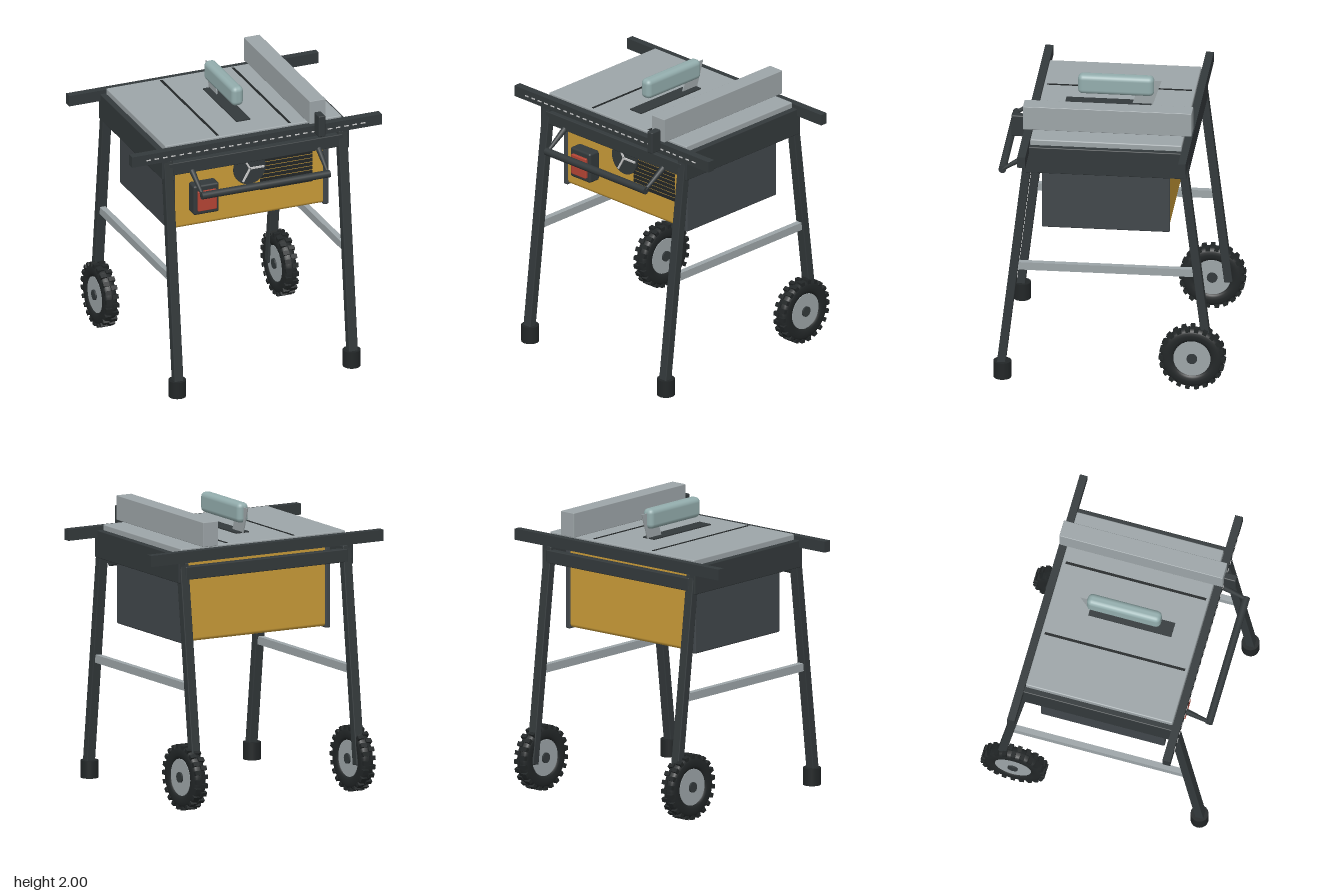
import * as THREE from 'three';
import { RoundedBoxGeometry } from 'three/addons/geometries/RoundedBoxGeometry.js';

const mat = (color) => new THREE.MeshStandardMaterial({ color });
const dark = mat(0x33393b), black = mat(0x222627), steel = mat(0x9da5a8), yellow = mat(0xc99b38);
const panel = mat(0x41474b), red = mat(0xb54434), teal = mat(0x93adad), light = mat(0xcccccc);

export function createModel() {
  const model = new THREE.Group();
  model.name = 'tableSaw';

  const add = (name, geometry, material, x = 0, y = 0, z = 0, parent = model) => {
    const mesh = new THREE.Mesh(geometry, material);
    mesh.name = name;
    mesh.position.set(x, y, z);
    parent.add(mesh);
    return mesh;
  };
  // Box given by its limits on each axis, optionally with rounded edges
  const box = (name, material, [x0, x1], [y0, y1], [z0, z1], r = 0, parent = model) => {
    const s = [x1 - x0, y1 - y0, z1 - z0];
    const g = r ? new RoundedBoxGeometry(...s, 3, r) : new THREE.BoxGeometry(...s);
    return add(name, g, material, (x0 + x1) / 2, (y0 + y1) / 2, (z0 + z1) / 2, parent);
  };
  // Turns a mesh built along y so that it runs from a to b
  const aim = (mesh, a, b) => {
    mesh.position.copy(a).add(b).multiplyScalar(0.5);
    mesh.quaternion.setFromUnitVectors(new THREE.Vector3(0, 1, 0), b.clone().sub(a).normalize());
  };

  // Table top with mitre slots and throat plate
  box('tableTop', steel, [-0.65, 0.65], [1.7, 1.79], [-0.505, 0.53], 0.008);
  for (const x of [-0.255, 0.275]) box('mitreSlot', black, [x - 0.009, x + 0.009], [1.78, 1.792], [-0.48, 0.51]);
  box('throatPlate', dark, [-0.052, 0.052], [1.78, 1.798], [-0.23, 0.355]);

  // Frame under the table
  for (const s of [-1, 1]) {
    box('sideApron', dark, [s * 0.665 - 0.025, s * 0.665 + 0.025], [1.56, 1.75], [-0.54, 0.57], 0.006);
  }
  box('frontApron', dark, [-0.64, 0.64], [1.58, 1.67], [0.52, 0.575], 0.006);
  box('backApron', dark, [-0.64, 0.64], [1.58, 1.67], [-0.552, -0.5], 0.006);

  // Fence rails, with a dashed scale on the front one
  box('frontRail', dark, [-0.92, 0.92], [1.7, 1.777], [0.535, 0.59]);
  box('backRail', dark, [-0.92, 0.92], [1.7, 1.777], [-0.56, -0.508]);
  for (let i = 0; i < 27; i++) {
    const x = -0.8 + i * 0.0608;
    box('scaleMark', light, [x - 0.016, x + 0.016], [1.731, 1.739], [0.588, 0.594]);
  }

  // Rip fence and its clamp
  box('ripFence', steel, [0.387, 0.505], [1.795, 1.965], [-0.557, 0.595], 0.004);
  box('fenceClamp', dark, [0.42, 0.47], [1.725, 1.88], [0.59, 0.677], 0.008);

  // Blade guard on a riving knife, with the blade below it
  box('bladeGuard', teal, [-0.043, 0.043], [1.86, 2], [-0.25, 0.27], 0.034);
  const knife = new THREE.Shape();
  [[-0.1, 1.79], [-0.24, 1.79], [-0.3, 1.97], [-0.16, 1.97]].forEach(([z, y], i) => (i ? knife.lineTo(-z, y) : knife.moveTo(-z, y)));
  const knifeGeo = new THREE.ExtrudeGeometry(knife, { depth: 0.008, bevelEnabled: false });
  knifeGeo.translate(0, 0, -0.004).rotateY(Math.PI / 2);
  add('rivingKnife', knifeGeo, steel);

  // Motor cabinet with dark side panels
  box('cabinet', yellow, [-0.565, 0.565], [1.12, 1.695], [-0.41, 0.45], 0.025);
  for (const s of [-1, 1]) {
    box('cabinetSidePanel', panel, [s * 0.566 - 0.02, s * 0.566 + 0.02], [1.11, 1.695], [-0.417, 0.457], 0.01);
  }

  // Power switch
  box('switchHousing', dark, [-0.443, -0.255], [1.235, 1.452], [0.44, 0.537], 0.015);
  box('switchButton', red, [-0.417, -0.28], [1.268, 1.413], [0.53, 0.556], 0.006);

  // Height adjustment wheel with three spokes
  const dial = new THREE.Group();
  dial.name = 'heightWheel';
  dial.position.set(0, 1.483, 0.45);
  model.add(dial);
  add('dialDisc', new THREE.CylinderGeometry(0.117, 0.117, 0.03, 40).rotateX(Math.PI / 2), dark, 0, 0, 0, dial);
  for (let i = 0; i < 3; i++) {
    const g = new THREE.BoxGeometry(0.1, 0.013, 0.012).translate(0.055, 0, 0).rotateZ(i * Math.PI * 2 / 3);
    add('dialSpoke', g, light, 0, 0, 0.018, dial);
  }

  // Ventilation slats
  for (let i = 0; i < 8; i++) {
    const y = 1.302 + i * 0.0295;
    box('ventSlat', black, [0.08, 0.465], [y, y + 0.022], [0.44, 0.457]);
  }

  // Front carrying handle
  add('handleBar', new THREE.CylinderGeometry(0.026, 0.026, 0.945, 20).rotateZ(Math.PI / 2), dark, 0, 1.474, 0.738);
  for (const s of [-1, 1]) {
    const arm = add('handleArm', new THREE.CylinderGeometry(0.022, 0.012, 0.22, 14), dark);
    aim(arm, new THREE.Vector3(s * 0.462, 1.474, 0.738), new THREE.Vector3(s * 0.467, 1.592, 0.555));
  }

  // Tyre profile and tread, spinning about x
  const ring = [];
  for (let i = 0; i <= 20; i++) {
    const a = (i / 20) * Math.PI * 2;
    const soft = (v) => Math.sign(v) * Math.pow(Math.abs(v), 0.75);
    ring.push(new THREE.Vector2(0.168 + 0.049 * soft(Math.cos(a)), 0.048 * soft(Math.sin(a))));
  }
  const tyreGeo = new THREE.LatheGeometry(ring, 48).rotateZ(Math.PI / 2);
  const disc = (r, w) => new THREE.CylinderGeometry(r, r, w, 36).rotateZ(Math.PI / 2);

  for (const s of [-1, 1]) {
    // Splayed legs, feet and side stretchers
    const leg = (name, y0, z0, y1, z1) => {
      const a = new THREE.Vector3(s * 0.643, y0, z0), b = new THREE.Vector3(s * 0.643, y1, z1);
      aim(add(name, new RoundedBoxGeometry(0.066, a.distanceTo(b), 0.058, 2, 0.006), dark), a, b);
    };
    leg('frontLeg', 0.08, 0.731, 1.69, 0.54);
    leg('backLeg', 0.2, -0.692, 1.69, -0.509);
    add('foot', new THREE.CylinderGeometry(0.061, 0.061, 0.12, 28), black, s * 0.643, 0.068, 0.72);
    box('stretcher', steel, [s * 0.643 - 0.02, s * 0.643 + 0.02], [0.82, 0.875], [-0.595, 0.625]);

    // Wheel
    const wheel = new THREE.Group();
    wheel.name = 'wheel';
    wheel.position.set(s * 0.663, 0.228, -0.58);
    model.add(wheel);
    add('tyre', tyreGeo, black, 0, 0, 0, wheel);
    add('rim', disc(0.127, 0.076), steel, 0, 0, 0, wheel);
    add('hubCap', disc(0.036, 0.1), dark, 0, 0, 0, wheel);
    for (let i = 0; i < 44; i++) {
      const side = i % 2 ? 1 : -1;
      const g = new THREE.BoxGeometry(0.044, 0.028, 0.03).translate(side * 0.025, 0.212, 0);
      add('treadBlock', g.rotateX((i / 44) * Math.PI * 2), black, 0, 0, 0, wheel);
    }
  }
  return model;
}
